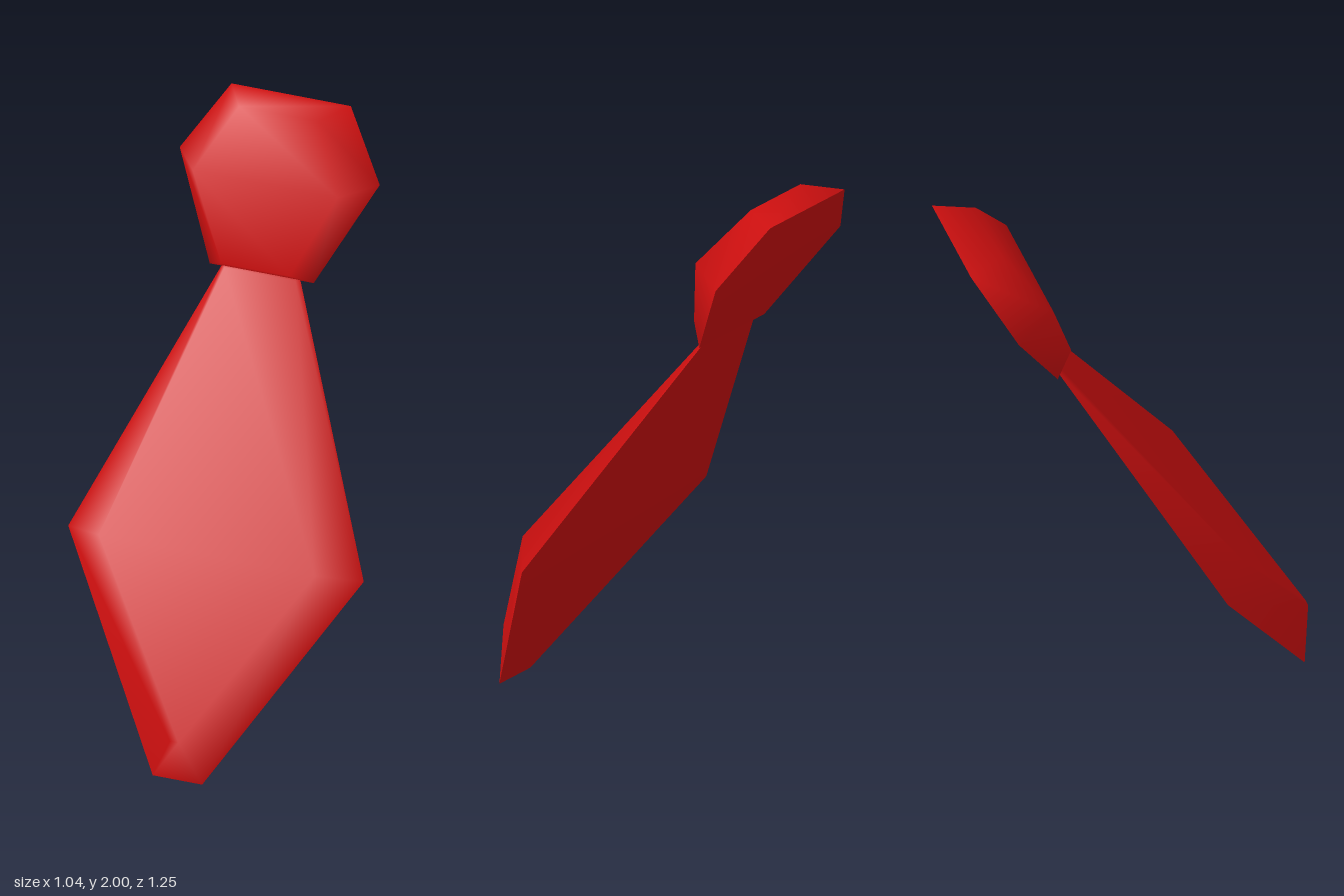
import * as THREE from 'three';

// Each row is [half width, y, z], from bottom to top.
const bladeBack = [[0.087, 0, 0.592], [0.52, 0.65, 0.18], [0.135, 1.485, -0.305]];
const bladeFront = [[0.015, 0.18, 0.628], [0.38, 0.71, 0.28], [0.125, 1.48, -0.287]];
const knotBack = [[0.21, 1.99, -0.622], [0.352, 1.78, -0.5], [0.183, 1.47, -0.308]].reverse();
const knotFront = [[0.14, 2.0, -0.49], [0.255, 1.81, -0.345], [0.12, 1.53, -0.24]].reverse();

// Mirrors three rows into a six-point ring, counter-clockwise from the front.
function ring(rows) {
  return [
    ...rows,
    ...[...rows].reverse().map(([x, y, z]) => [-x, y, z]),
  ];
}

function surface(points, index, material, name) {
  const geometry = new THREE.BufferGeometry();
  geometry.setAttribute('position', new THREE.Float32BufferAttribute(points.flat(), 3));
  geometry.setIndex(index);
  geometry.computeVertexNormals();
  const mesh = new THREE.Mesh(geometry, material);
  mesh.name = name;
  return mesh;
}

// A flat back with a smooth, bevelled front.
function bevelledPart(name, backRows, frontRows, material) {
  const back = ring(backRows);
  const front = ring(frontRows);
  const cap = [0, 1, 4, 0, 4, 5, 1, 2, 3, 1, 3, 4];
  const shell = cap.map((i) => i + 6);
  for (let i = 0; i < 6; i++) {
    const j = (i + 1) % 6;
    shell.push(i, j, j + 6, i, j + 6, i + 6);
  }
  const part = new THREE.Group();
  part.name = name;
  part.add(surface([...back, ...front], shell, material, name + 'Front'));
  part.add(surface(back, [...cap].reverse(), material, name + 'Back'));
  return part;
}

export function createModel() {
  const red = new THREE.MeshStandardMaterial({ color: 0xcc0f0f });
  red.name = 'red';
  const model = new THREE.Group();
  model.name = 'necktie';
  model.add(bevelledPart('blade', bladeBack, bladeFront, red));
  model.add(bevelledPart('knot', knotBack, knotFront, red));
  return model;
}
